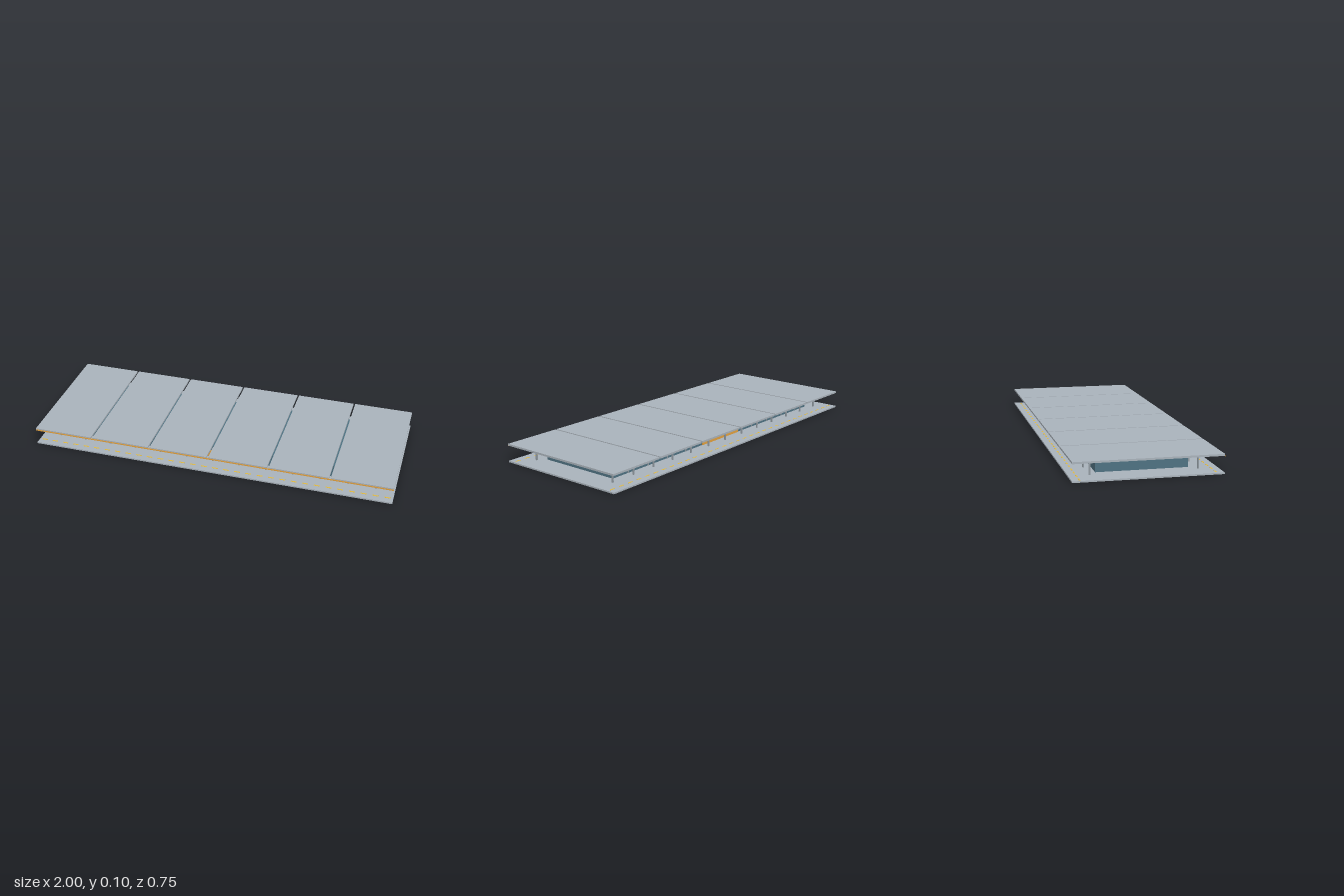
import * as THREE from 'three';

const mat = (color) => new THREE.MeshStandardMaterial({ color });
const grey = mat(0xa9b2ba), steel = mat(0x8f989f), teal = mat(0x4f7282);
const orange = mat(0xe0a040), yellow = mat(0xe0b840);

export function createModel() {
  const model = new THREE.Group();

  // Box given by its size and the centre of its underside
  const box = (name, w, h, d, x, y, z, material, parent = model) => {
    const mesh = new THREE.Mesh(new THREE.BoxGeometry(w, h, d), material);
    mesh.name = name;
    mesh.position.set(x, y + h / 2, z);
    parent.add(mesh);
  };
  const group = (name) => {
    const g = new THREE.Group();
    g.name = name;
    model.add(g);
    return g;
  };

  // Platform slab
  box('platform', 2, 0.008, 0.746, 0, 0, 0, grey);

  // Enclosed hall in the middle
  box('hall', 1.72, 0.071, 0.466, 0, 0.008, 0, teal);

  // Roof of six panels with narrow open joints
  const roof = group('roof');
  const panels = 6, pitch = 2 / panels, gap = 0.01;
  for (let i = 0; i < panels; i++) {
    const x0 = -1 + i * pitch + (i > 0 ? gap / 2 : 0);
    const x1 = -1 + (i + 1) * pitch - (i < panels - 1 ? gap / 2 : 0);
    box('roofPanel', x1 - x0, 0.01, 0.744, (x0 + x1) / 2, 0.09, 0, grey, roof);
  }
  // Coloured strip along the front edge of the roof
  box('fascia', 2, 0.007, 0.002, 0, 0.087, 0.373, orange);

  const columns = group('columns');
  const mullions = group('mullions');
  const markings = group('edgeMarkings');
  for (const side of [1, -1]) {
    // Row of columns with a facade mullion behind each
    for (let i = -6; i <= 6; i++) {
      const x = i * 0.15;
      box('column', 0.008, 0.082, 0.008, x, 0.008, side * 0.27, steel, columns);
      if (Math.abs(i) < 6)
        box('mullion', 0.006, 0.071, 0.003, x, 0.008, side * 0.2345, steel, mullions);
    }
    // Entrance
    box('entrance', 0.32, 0.04, 0.005, 0, 0.009, side * 0.2365, orange);

    // Dashed safety line on the platform
    const dashes = 32;
    for (let i = 0; i < dashes; i++)
      box('dash', 0.032, 0.0006, 0.008, -0.97 + (i * 1.94) / (dashes - 1), 0.008, side * 0.335, yellow, markings);
  }
  return model;
}
